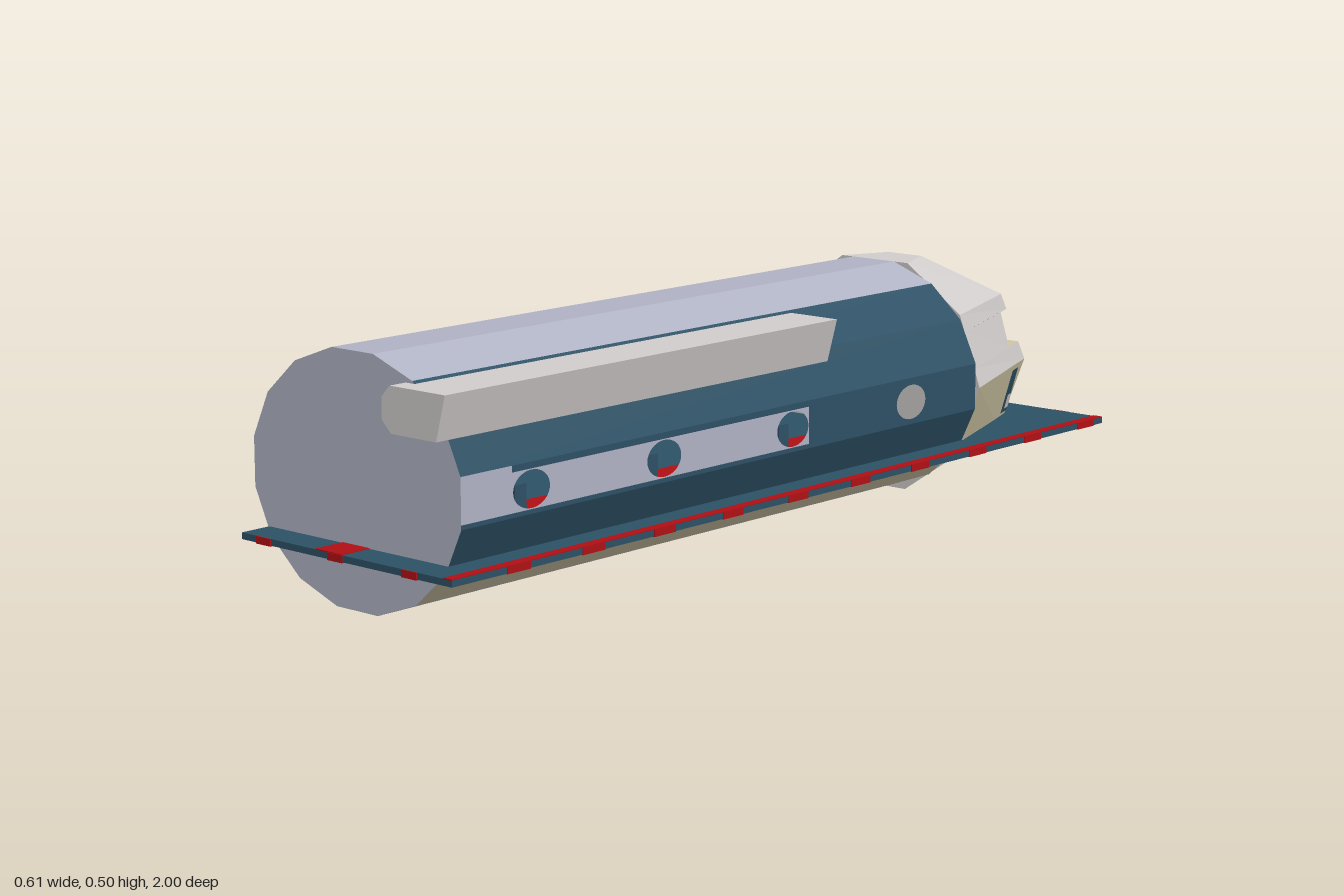
import * as THREE from 'three';

const mat = (name, color) => {
  const m = new THREE.MeshStandardMaterial({ color, side: THREE.DoubleSide });
  m.name = name;
  return m;
};

export function createModel() {
  const model = new THREE.Group();
  model.name = 'carriage';
  const blue = mat('blue grey', 0xb0b3c5);
  const tan = mat('tan', 0xcfc6a5);
  const teal = mat('dark teal', 0x2d5165);
  const grey = mat('warm grey', 0xd2cdcd);
  const red = mat('red', 0xb01014);

  const add = (name, geometry, material, parent = model) => {
    const mesh = new THREE.Mesh(geometry, material);
    mesh.name = name;
    parent.add(mesh);
    return mesh;
  };
  const box = (name, material, x0, x1, y0, y1, z0, z1, parent) => {
    const m = add(name, new THREE.BoxGeometry(x1 - x0, y1 - y0, z1 - z0), material, parent);
    m.position.set((x0 + x1) / 2, (y0 + y1) / 2, (z0 + z1) / 2);
    return m;
  };
  // Flat four-cornered face, corners anticlockwise from outside
  const quad = (name, material, a, b, c, d, parent) => {
    const g = new THREE.BufferGeometry();
    g.setAttribute('position', new THREE.Float32BufferAttribute([a, b, c, a, c, d].flat(), 3));
    g.computeVertexNormals();
    return add(name, g, material, parent);
  };

  // Hull: sixteen-sided hollow tube, coloured by facet
  const hull = new THREE.Group();
  hull.name = 'hull';
  model.add(hull);
  const CX = -0.021, CY = 0.252, BACK = -0.59, FRONT = 0.93;
  const corner = (i) => {
    const a = (i + 0.5) * Math.PI / 8;
    return [CX + 0.284 * Math.cos(a), CY + 0.25 * Math.sin(a)];
  };
  const panel = (name, material, p, q, z0, z1) =>
    quad(name, material, [...p, z1], [...p, z0], [...q, z0], [...q, z1], hull);
  const mix = (p, q, t) => [p[0] + (q[0] - p[0]) * t, p[1] + (q[1] - p[1]) * t];
  const facets = [teal, teal, blue, blue, blue, tan, tan, null, tan, tan, grey, grey, grey, tan, teal, null];
  const DOOR0 = -0.44, DOOR1 = -0.3;
  facets.forEach((m, i) => {
    if (!m) return;
    const p = corner(i), q = corner(i + 1);
    if (i === 6 || i === 8) {
      // Facets cut by the doorway
      panel('hullPanel', m, p, q, BACK, DOOR0);
      panel('hullPanel', m, p, q, DOOR1, FRONT);
      if (i === 6) panel('doorHead', m, p, mix(p, q, 0.2), DOOR0, DOOR1);
      else panel('doorSill', m, mix(p, q, 0.75), q, DOOR0, DOOR1);
    } else panel('hullPanel', m, p, q, BACK, FRONT);
  });
  const outline = new THREE.Shape(Array.from({ length: 16 }, (_, i) => new THREE.Vector2(...corner(i))));
  add('frontBulkhead', new THREE.ShapeGeometry(outline), blue, hull).position.z = FRONT;

  // Upright side strips with oval window openings
  const [XR, YT] = corner(0), XL = corner(7)[0], YB = corner(15)[1];
  const windowStrip = (name, material, x, y0, y1, z0, z1, windows) => {
    const s = new THREE.Shape([[z0, y0], [z1, y0], [z1, y1], [z0, y1]].map((p) => new THREE.Vector2(...p)));
    windows.forEach((z) => s.holes.push(new THREE.Path().absellipse(z, 0.25, 0.048, 0.036, 0, Math.PI * 2, true)));
    const m = add(name, new THREE.ShapeGeometry(s, 16), material, hull);
    m.rotation.y = -Math.PI / 2;
    m.position.x = x;
  };
  windowStrip('rightWindowBand', blue, XR, 0.212, 0.288, -0.04, FRONT, [0.75, 0.39, 0.01]);
  windowStrip('rightRearBand', teal, XR, 0.212, 0.288, BACK, -0.04, [-0.37]);
  windowStrip('rightLowerTrim', teal, XR, YB, 0.212, BACK, FRONT, []);
  windowStrip('rightUpperTrim', teal, XR, 0.288, YT, BACK, 0.8, []);
  windowStrip('rightFrontTrim', blue, XR, 0.288, YT, 0.8, FRONT, []);
  windowStrip('leftWindowBand', blue, XL, YB, YT, DOOR1, FRONT, [0.75, 0.39, 0.01]);
  windowStrip('leftRearBand', blue, XL, YB, YT, BACK, DOOR0, []);

  // Seats inside, beside each window
  for (const z of [0.72, 0.36, -0.03]) {
    box('seat', teal, 0.1, 0.2, 0.133, 0.245, z - 0.015, z + 0.015);
  }

  // Flat deck through the hull, with red markings
  const deck = new THREE.Group();
  deck.name = 'deck';
  model.add(deck);
  box('deckPlate', teal, -0.262, 0.302, 0.118, 0.131, -0.998, 0.998, deck);
  box('deckEdgeStripe', red, 0.28, 0.302, 0.13, 0.1325, -0.998, 0.998, deck);
  box('deckCentreStripe', red, -0.022 - 0.035, 0.015, 0.13, 0.1325, -0.998, 0.998, deck);
  for (const x of [-0.2, -0.003, 0.193]) {
    box('deckRunner', red, x - 0.02, x + 0.02, 0.1165, 0.131, -1, 1, deck);
  }
  for (let i = 0; i < 10; i++) {
    const z = 0.83 - i * 0.196;
    box('deckEdgeMark', red, 0.297, 0.3035, 0.117, 0.132, z - 0.03, z + 0.03, deck);
  }

  // Long pod along the right shoulder
  const podShape = new THREE.Shape([[0.12, 0.455], [0.098, 0.432], [0.098, 0.39], [0.122, 0.367], [0.238, 0.367], [0.262, 0.455]]
    .map((p) => new THREE.Vector2(...p)));
  add('shoulderPod', new THREE.ExtrudeGeometry(podShape, { depth: 1.09, bevelEnabled: false }), grey).position.z = -0.12;

  // Tail cabin: rows of [height, base half width, end half width, end z]
  const tail = new THREE.Group();
  tail.name = 'tailCabin';
  model.add(tail);
  const TX = -0.018;
  const rows = [
    [0.497, 0.09, 0.045, -0.695],
    [0.4, 0.232, 0.125, -0.88],
    [0.365, 0.245, 0.13, -0.894],
    [0.365, 0.245, 0.147, -0.85],
    [0.29, 0.272, 0.171, -0.85],
    [0.29, 0.272, 0.142, -0.924],
    [0.25, 0.287, 0.148, -0.94],
    [0.098, 0.232, 0.125, -0.88],
    [0.002, 0.09, 0.045, -0.695],
  ];
  const base = (r, s) => [TX + s * r[1], r[0], BACK];
  const end = (r, s) => [TX + s * r[2], r[0], r[3]];
  const endColours = [grey, grey, tan, teal, tan, grey, grey, grey];
  for (let i = 0; i < rows.length - 1; i++) {
    const a = rows[i], b = rows[i + 1];
    quad('tailEnd', endColours[i], end(a, 1), end(b, 1), end(b, -1), end(a, -1), tail);
    quad('tailBase', grey, base(a, -1), base(b, -1), base(b, 1), base(a, 1), tail);
    if (i === 2 || i === 4) continue; // level window ledges have no side
    quad('tailRightSide', i === 6 ? tan : grey, base(a, 1), base(b, 1), end(b, 1), end(a, 1), tail);
    quad('tailLeftSide', grey, end(a, -1), end(b, -1), base(b, -1), base(a, -1), tail);
  }
  const top = rows[0], low = rows[rows.length - 1];
  quad('tailRoof', grey, base(top, -1), base(top, 1), end(top, 1), end(top, -1), tail);
  quad('tailFloor', grey, base(low, 1), base(low, -1), end(low, -1), end(low, 1), tail);

  // Lamp slot on the lower right side of the tail
  const onSide = (y, z, lift) => {
    const t = (0.25 - y) / 0.152;
    const bx = 0.287 - 0.055 * t, ex = 0.148 - 0.023 * t, ez = -0.94 + 0.06 * t;
    return [TX + bx + (ex - bx) * (z - BACK) / (ez - BACK) + lift, y, z];
  };
  const sideQuad = (name, m, y0, y1, z0, z1, lift) => quad(name, m,
    onSide(y1, z1, lift), onSide(y0, z1, lift), onSide(y0, z0, lift), onSide(y1, z0, lift), tail);
  sideQuad('lampSlot', teal, 0.14, 0.24, -0.888, -0.845, 0.004);
  sideQuad('lamp', grey, 0.15, 0.182, -0.882, -0.855, 0.007);

  return model;
}
